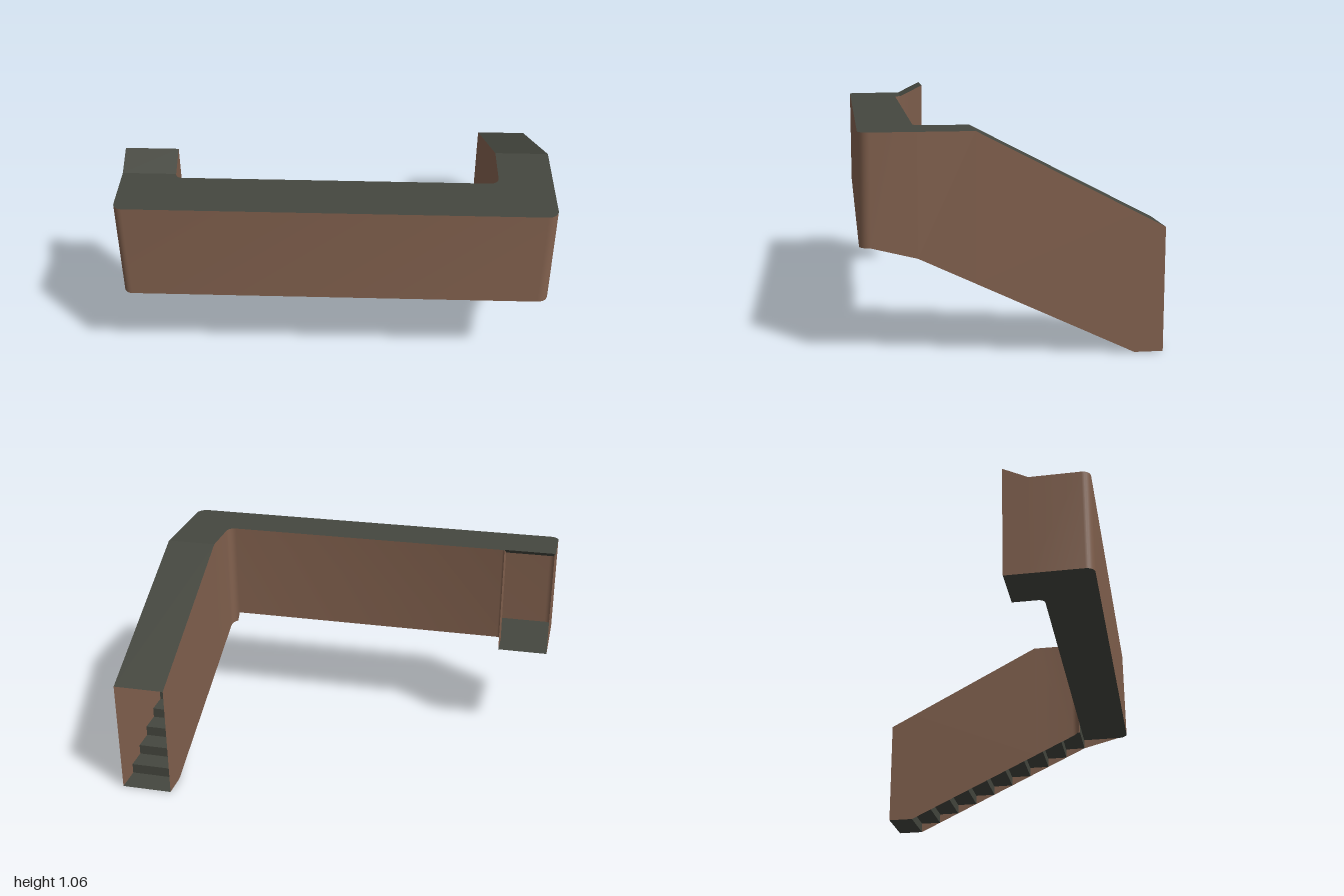
import * as THREE from 'three';
import { toCreasedNormals } from 'three/addons/utils/BufferGeometryUtils.js';

const brown = new THREE.MeshStandardMaterial({ color: 0x82614e, side: THREE.DoubleSide });
brown.name = 'brown wall';
const grey = new THREE.MeshStandardMaterial({ color: 0x45473f, side: THREE.DoubleSide });
grey.name = 'dark grey stone';

const FLOOR = 0.503, CEILING = 1;
const STEPS = 10, RISE = FLOOR / STEPS, STAIR_Z = -0.54, TREAD = 0.96 / (STEPS - 1);

// Rounded corner in plan, as [x, z] points
function arc(cx, cz, r, from, to, n = 6) {
  return Array.from({ length: n + 1 }, (_, i) => {
    const a = from + (to - from) * i / n;
    return [cx + r * Math.cos(a), cz + r * Math.sin(a)];
  });
}

// Sheet stretched between two rows of [x, y, z] points
function ribbon(a, b) {
  const pos = [];
  for (let i = 0; i < a.length - 1; i++) {
    pos.push(...a[i], ...a[i + 1], ...b[i + 1], ...a[i], ...b[i + 1], ...b[i]);
  }
  const g = new THREE.BufferGeometry();
  g.setAttribute('position', new THREE.Float32BufferAttribute(pos, 3));
  return toCreasedNormals(g, 0.4);
}

// Horizontal sheet from a plan outline of [x, z] points
function plate(outline, y) {
  const shape = new THREE.Shape(outline.map(([x, z]) => new THREE.Vector2(x, -z)));
  return new THREE.ShapeGeometry(shape).rotateX(-Math.PI / 2).translate(0, y, 0);
}

// Height of the upper and lower wall edges at a plan point
function topY([x, z]) {
  if (x > 0) return z < 0.17 ? CEILING - (0.17 - z) * 0.435 / 0.84 : CEILING;
  return z < 0.39 ? CEILING + (0.39 - z) * 0.06 / 0.12 : CEILING;
}
function bottomY([x, z]) {
  if (x < 0.72 || z >= 0.619) return FLOOR;
  if (z > 0.42) return FLOOR - RISE * (0.62 - z) / 0.2;
  return Math.max(0, (z - STAIR_Z) * RISE / TREAD);
}

export function createModel() {
  const model = new THREE.Group();
  const add = (name, geometry, material) => {
    const mesh = new THREE.Mesh(geometry, material);
    mesh.name = name;
    model.add(mesh);
  };

  // Plan of the passage, from the short upper arm to the foot of the stairs
  const outer = [[-1, 0.27], [-1, 0.39],
    ...arc(-0.96, 0.63, 0.04, Math.PI, Math.PI / 2),
    ...arc(0.95, 0.62, 0.05, Math.PI / 2, 0),
    [1, 0.42], [1, 0.17], [1, STAIR_Z], [1, -0.67]];
  const inner = [[-0.75, 0.27],
    ...arc(-0.72, 0.39, 0.03, Math.PI, Math.PI / 2),
    ...arc(0.71, 0.38, 0.04, Math.PI / 2, 0),
    [0.75, 0.17], [0.75, STAIR_Z], [0.75, -0.67]];

  // Side walls
  const wall = path => ribbon(
    path.map(p => [p[0], bottomY(p), p[1]]),
    path.map(p => [p[0], topY(p), p[1]]));
  add('outerWall', wall(outer), brown);
  add('innerWall', wall(inner), brown);

  // Flat ceiling, then the ramps at both ends
  const isFlat = ([x, z]) => (x > 0 ? z > 0.169 : z > 0.389);
  add('flatCeiling', plate([...outer.filter(isFlat), ...inner.filter(isFlat).reverse()], CEILING), grey);
  const ramp = (x0, x1, zs) => ribbon(
    zs.map(z => [x0, topY([x0, z]), z]),
    zs.map(z => [x1, topY([x1, z]), z]));
  add('stairCeiling', ramp(0.75, 1, [0.17, -0.67]), grey);
  add('upperRampCeiling', ramp(-1, -0.75, [0.39, 0.27]), grey);

  // Landing floor
  const floor = [...outer.filter(([x, z]) => x < 0 || z >= 0.42),
    [0.75, 0.42], ...inner.filter(([x]) => x < 0).reverse()];
  add('landingFloor', plate(floor, FLOOR), grey);

  // Stairs: one folded sheet of treads and risers
  const profile = [[0, -0.67]];
  for (let k = 0; k < STEPS; k++) {
    const z = STAIR_Z + k * TREAD;
    profile.push([k * RISE, z], [(k + 1) * RISE, z]);
  }
  add('stairs', ribbon(profile.map(([y, z]) => [0.75, y, z]), profile.map(([y, z]) => [1, y, z])), grey);

  return model;
}
